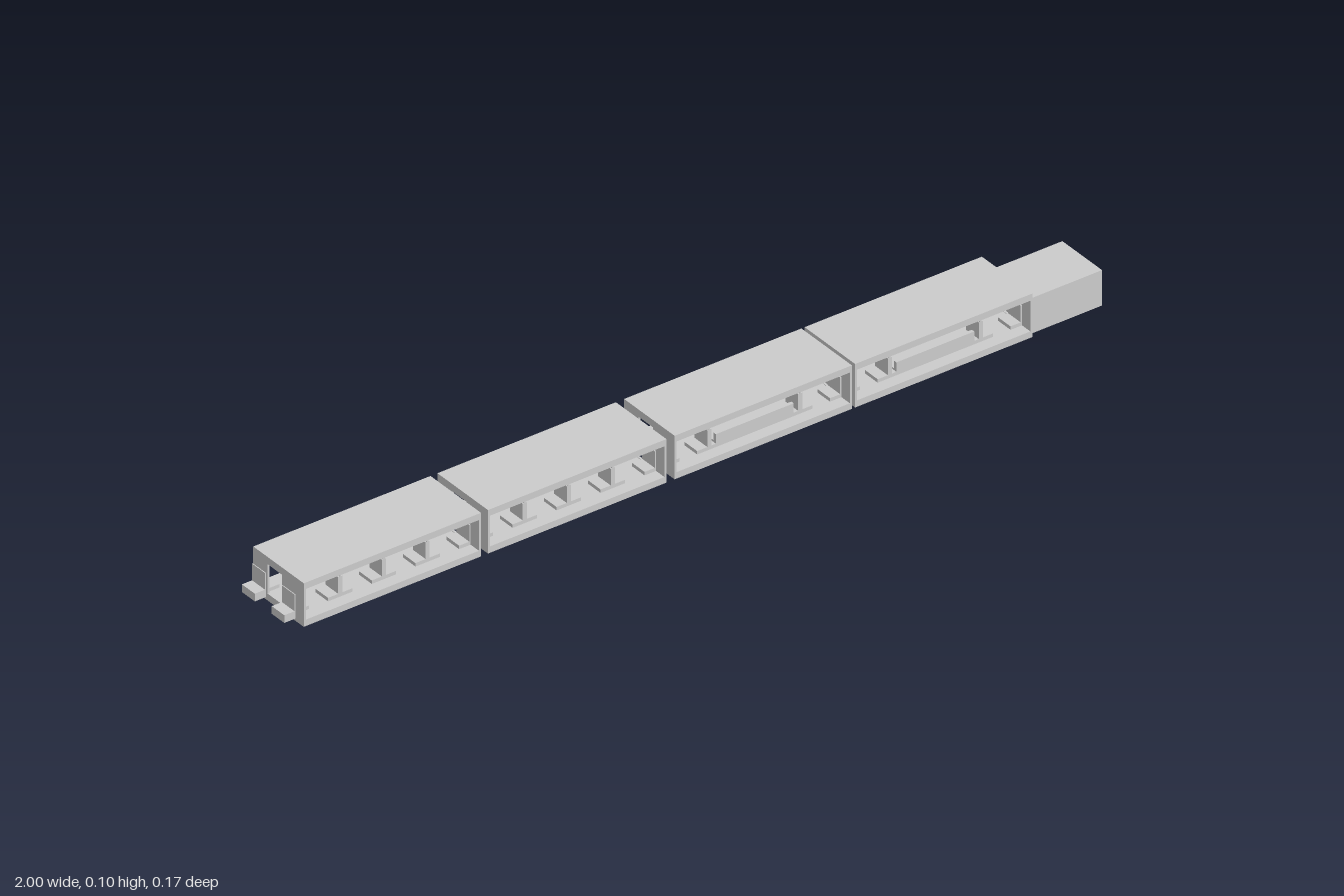
import * as THREE from 'three';

const material = new THREE.MeshStandardMaterial({ color: 0xcccccc, flatShading: true });

// Box given by its lower and upper limits on each axis
function block(parent, name, x0, x1, y0, y1, z0, z1) {
  const mesh = new THREE.Mesh(new THREE.BoxGeometry(x1 - x0, y1 - y0, z1 - z0), material);
  mesh.position.set((x0 + x1) / 2, (y0 + y1) / 2, (z0 + z1) / 2);
  mesh.name = name;
  parent.add(mesh);
}

const HALF = 0.084;
const FLOOR = 0.018;
const CEILING = 0.09;
const SEAT_ROWS = [[-0.085, -0.042], [0.014, 0.056]]; // either side of the aisle

// End wall with an open doorway on the aisle
function endWall(parent, x0, x1) {
  const shape = new THREE.Shape();
  shape.moveTo(-HALF, FLOOR);
  shape.lineTo(HALF, FLOOR);
  shape.lineTo(HALF, CEILING);
  shape.lineTo(-HALF, CEILING);
  const door = new THREE.Path();
  door.moveTo(-0.012, FLOOR + 0.001);
  door.lineTo(-0.012, 0.088);
  door.lineTo(0.036, 0.088);
  door.lineTo(0.036, FLOOR + 0.001);
  shape.holes.push(door);
  const geometry = new THREE.ExtrudeGeometry(shape, { depth: x1 - x0, bevelEnabled: false });
  geometry.rotateY(Math.PI / 2);
  geometry.translate(x0, 0, 0);
  const wall = new THREE.Mesh(geometry, material);
  wall.name = 'endWall';
  parent.add(wall);
}

// Back-to-back seats around a thin partition, on both sides of the aisle
function seatPair(parent, x, left = true, right = true) {
  const group = new THREE.Group();
  group.name = 'seatPair';
  for (const [z0, z1] of SEAT_ROWS) {
    block(group, 'partition', x - 0.002, x + 0.002, FLOOR, CEILING, z0, z1);
    block(group, 'seatBack', x - (left ? 0.005 : 0), x + (right ? 0.005 : 0), FLOOR, 0.065, z0, z1);
    block(group, 'seatCushion', x - (left ? 0.03 : 0), x + (right ? 0.03 : 0), 0.008, 0.026, z0, z1);
  }
  parent.add(group);
}

// Seat along the side of the car, with its back towards the window
function longBench(parent, x0, x1, outer, inner) {
  const backEdge = outer + Math.sign(inner - outer) * 0.008;
  block(parent, 'longBenchBack', x0, x1, FLOOR, 0.048, Math.min(outer, backEdge), Math.max(outer, backEdge));
  block(parent, 'longBenchSeat', x0, x1, FLOOR, 0.03, Math.min(outer, inner), Math.max(outer, inner));
}

function carShell(name, x0, x1) {
  const car = new THREE.Group();
  car.name = name;
  block(car, 'floor', x0, x1, 0.003, FLOOR, -HALF, HALF);
  block(car, 'roof', x0, x1, CEILING, 0.105, -HALF, HALF);
  endWall(car, x0, x0 + 0.005);
  endWall(car, x1 - 0.005, x1);
  return car;
}

// Car with evenly spaced seat pairs
function compartmentCar(x0, x1) {
  const car = carShell('compartmentCar', x0, x1);
  const step = (x1 - x0 - 0.006) / 4;
  for (let i = 0; i <= 4; i++) seatPair(car, x0 + 0.003 + i * step, true, i < 4);
  return car;
}

// Car with seat pairs near the ends and long benches in the middle
function loungeCar(x0, x1, outward) {
  const car = carShell('loungeCar', x0, x1);
  seatPair(car, x0 + 0.003, outward, true);
  seatPair(car, x0 + 0.106);
  seatPair(car, x1 - 0.106);
  seatPair(car, x1 - 0.003, true, false);
  longBench(car, x0 + 0.122, x1 - 0.122, 0.056, 0.02);
  longBench(car, x0 + 0.122, x1 - 0.122, -0.084, -0.046);
  return car;
}

export function createModel() {
  const train = new THREE.Group();
  train.name = 'train';
  train.add(compartmentCar(-0.97, -0.535));
  train.add(compartmentCar(-0.518, -0.08));
  train.add(loungeCar(-0.06, 0.375, true));
  train.add(loungeCar(0.383, 0.818, false));
  // Plain engine block at the head of the train
  block(train, 'engine', 0.818, 1, 0, 0.083, -0.063, 0.069);
  return train;
}
